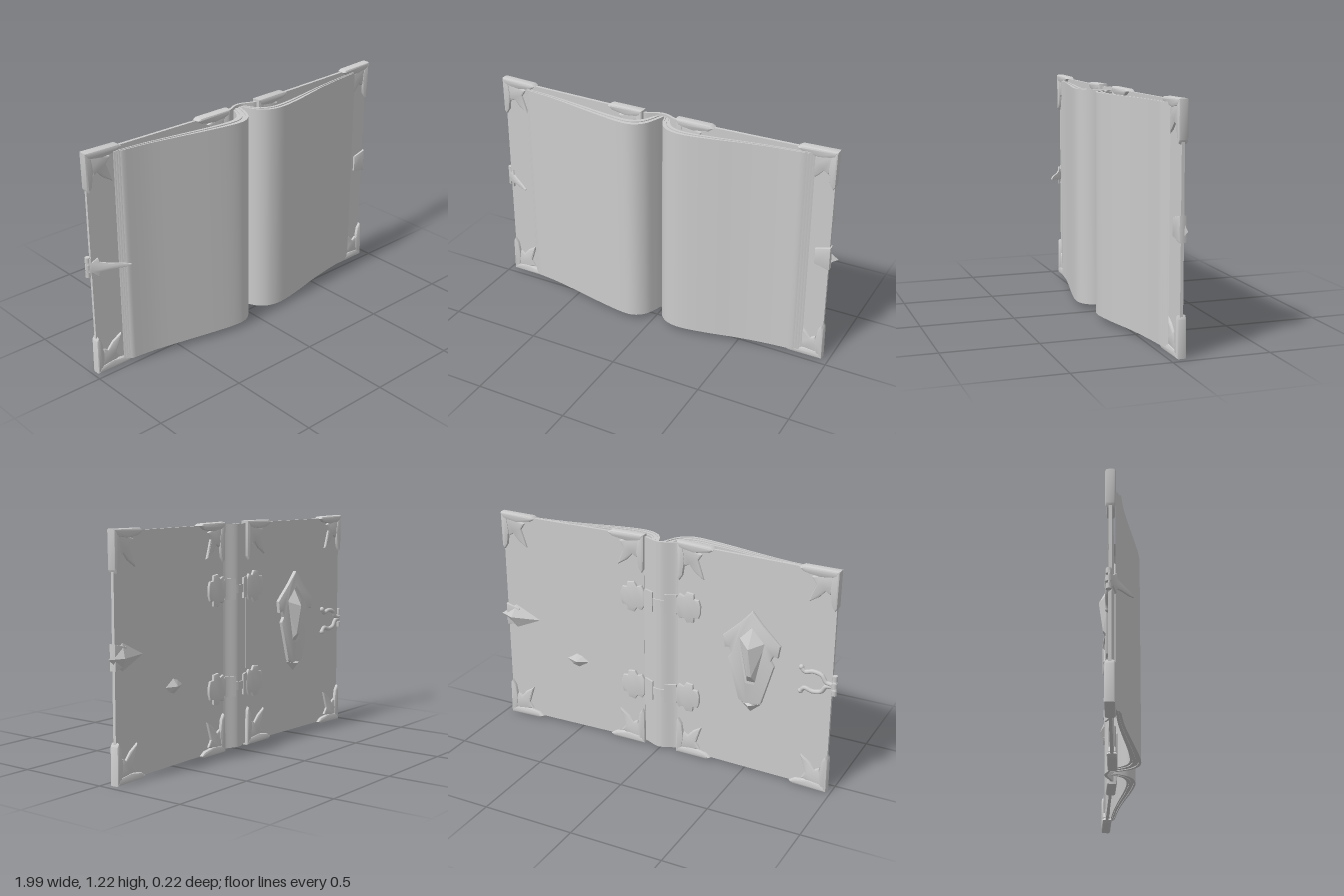
import * as THREE from 'three';
import { toCreasedNormals } from 'three/addons/utils/BufferGeometryUtils.js';
import { ConvexGeometry } from 'three/addons/geometries/ConvexGeometry.js';

const material = new THREE.MeshStandardMaterial({ color: 0xcccccc });
const gemMaterial = new THREE.MeshStandardMaterial({ color: 0xcccccc, flatShading: true });
const V2 = (x, y) => new THREE.Vector2(x, y);

function add(parent, name, geometry, mat = material) {
  const mesh = new THREE.Mesh(geometry, mat);
  mesh.name = name;
  parent.add(mesh);
  return mesh;
}

// Flat ornament outlined in x/y, centred on depth z, with a bevelled rim
function plate(points, thickness, z = 0, bevel = 0.006, hole = null) {
  const shape = new THREE.Shape(points.map(([x, y]) => V2(x, y)));
  if (hole) shape.holes.push(new THREE.Path(hole.map(([x, y]) => V2(x, y))));
  const depth = Math.max(thickness - 2 * bevel, 0.002);
  const g = new THREE.ExtrudeGeometry(shape, {
    depth, bevelEnabled: bevel > 0, bevelSize: bevel, bevelThickness: bevel, bevelOffset: -bevel, bevelSegments: 2,
  });
  return toCreasedNormals(g.translate(0, 0, z - depth / 2), 0.6);
}

// Upright slab between a front and a back line, both given as [x, z]
function slab(front, back, y0, y1) {
  const outline = [...front, ...[...back].reverse()].map(([x, z]) => V2(x, -z));
  const g = new THREE.ExtrudeGeometry(new THREE.Shape(outline), { depth: y1 - y0, bevelEnabled: false });
  return toCreasedNormals(g.rotateX(-Math.PI / 2).translate(0, y0, 0), 0.6);
}

const smooth = (pts, n = 36) =>
  new THREE.SplineCurve(pts.map(([x, z]) => V2(x, z))).getPoints(n).map((p) => [p.x, p.y]);

const gem = (outline, z, peaks) => new ConvexGeometry([
  ...outline.map(([x, y]) => new THREE.Vector3(x, y, z)),
  ...peaks.map((p) => new THREE.Vector3(...p)),
]);

// Band following the rounded spine
const spineZ = (x) => -0.033 - 0.034 * (0.5 + 0.5 * Math.cos((Math.PI * x) / 0.11));
function spineBand(xa, xb, offset, thickness, y0, y1) {
  const xs = Array.from({ length: 25 }, (_, i) => xa + ((xb - xa) * i) / 24);
  return slab(xs.map((x) => [x, spineZ(x) - offset + thickness]), xs.map((x) => [x, spineZ(x) - offset]), y0, y1);
}

// Corner guard of two edge leaves and one diagonal leaf; du, dy point inward
function cornerGuard(s, u, y, du, dy) {
  const group = new THREE.Group();
  group.name = 'cornerGuard';
  const at = (pts) => pts.map(([a, b]) => [s * (u + du * a), y + dy * b]);
  const edge = [[0, 0], [0.19, 0.002], [0.21, 0.014], [0.18, 0.034], [0.1, 0.046], [0.012, 0.034]];
  add(group, 'edgeLeaf', plate(at(edge), 0.052, 0, 0.01));
  add(group, 'sideLeaf', plate(at(edge.map(([a, b]) => [b, a])), 0.05, 0, 0.01));
  const diagonal = [[0.02, 0.02], [0.1, 0.035], [0.145, 0.05], [0.122, 0.085], [0.155, 0.185],
    [0.1, 0.15], [0.07, 0.115], [0.045, 0.13], [0.03, 0.09]];
  add(group, 'diagonalLeaf', plate(at(diagonal), 0.04, 0, 0.009));
  return group;
}

// Sheet block as thin bundles curling out of the gutter
function pageBlock(name, front, back) {
  const group = new THREE.Group();
  group.name = name;
  const f = smooth(front), b = smooth(back), layers = 4;
  const line = (t) => f.map(([x, z], i) => [x + (b[i][0] - x) * t, z + (b[i][1] - z) * t]);
  for (let i = 0; i < layers; i++) {
    const inset = i % 2 ? 0.004 : 0;
    add(group, 'sheets', slab(line(i / layers), line((i + 0.96) / layers), 0.03 + inset, 1.198 - inset));
  }
  return group;
}

function coverHalf(s) {
  const cover = new THREE.Group();
  cover.name = s > 0 ? 'leftCover' : 'rightCover';
  cover.position.set(s * 0.1, 0, -0.035);
  cover.rotation.y = s * 0.029;
  const width = s > 0 ? 0.855 : 0.87;
  add(cover, 'board', new THREE.BoxGeometry(width, 1.195, 0.016)).position.set((s * width) / 2, 0.6125, 0);
  for (const [y, dy] of [[0.002, 1], [1.223, -1]]) {
    cover.add(cornerGuard(s, width + 0.008, y, -1, dy));
    cover.add(cornerGuard(s, -0.004, y, 1, dy));
  }
  // Hinge leaves
  const half = [[-0.005, 0.04], [0.012, 0.07], [0.04, 0.06], [0.055, 0.085], [0.095, 0.08],
    [0.098, 0.052], [0.125, 0.05], [0.135, 0.02]];
  const outline = [...half, ...half.map(([a, b]) => [a, -b]).reverse()];
  for (const y of [0.35, 0.87])
    add(cover, 'hingeLeaf', plate(outline.map(([a, b]) => [s * a, y + b]), 0.02, -0.011, 0.004));
  return cover;
}

export function createModel() {
  const book = new THREE.Group();
  book.name = 'openBook';

  const left = coverHalf(1), right = coverHalf(-1);
  book.add(left, right);

  // Spine and hinge straps
  add(book, 'spine', spineBand(-0.108, 0.108, 0.008, 0.014, 0.015, 1.21));
  for (const y of [0.35, 0.87]) {
    add(book, 'hingeStrap', spineBand(-0.11, 0.11, 0.015, 0.01, y - 0.022, y + 0.022));
    for (const s of [-1, 1]) {
      const [a, b] = s > 0 ? [0.035, 0.095] : [-0.095, -0.035];
      add(book, 'hingeKnuckle', spineBand(a, b, 0.019, 0.012, y - 0.055, y + 0.055));
    }
  }

  // Pages
  book.add(pageBlock('rightPages',
    [[0.008, -0.06], [-0.012, 0], [-0.04, 0.06], [-0.09, 0.1], [-0.16, 0.108], [-0.3, 0.085], [-0.5, 0.042], [-0.65, 0.012], [-0.785, -0.005]],
    [[-0.045, -0.052], [-0.06, -0.015], [-0.085, 0.02], [-0.12, 0.043], [-0.18, 0.05], [-0.31, 0.036], [-0.5, 0.004], [-0.66, -0.02], [-0.82, -0.033]]));
  book.add(pageBlock('leftPages',
    [[0.012, -0.06], [0.03, 0], [0.06, 0.048], [0.11, 0.08], [0.19, 0.09], [0.33, 0.068], [0.5, 0.03], [0.65, 0.005], [0.8, -0.012]],
    [[0.045, -0.052], [0.066, -0.015], [0.093, 0.018], [0.14, 0.038], [0.21, 0.042], [0.34, 0.026], [0.51, -0.002], [0.68, -0.024], [0.85, -0.038]]));

  // Kite-shaped jewel mount on the right cover, outlined around (gx, 0)
  const gx = -0.43;
  const mirror = (half) => [...half.map(([a, b]) => [gx + a, b]), ...half.map(([a, b]) => [gx - a, b]).reverse()];
  const mount = mirror([[0.002, 0.925], [0.06, 0.86], [0.16, 0.765], [0.15, 0.7], [0.125, 0.705], [0.11, 0.675],
    [0.13, 0.645], [0.065, 0.42], [0.02, 0.4]]);
  const opening = mirror([[0.002, 0.85], [0.084, 0.765], [0.032, 0.515]]);
  add(right, 'jewelMount', plate(mount, 0.026, -0.015, 0.008, opening));
  add(right, 'largeJewel', gem(mirror([[0.001, 0.84], [0.075, 0.76], [0.027, 0.525]]), -0.006,
    [[gx, 0.73, -0.064], [gx - 0.012, 0.57, -0.042], [gx + 0.012, 0.57, -0.042]]), gemMaterial);
  add(right, 'mountTip', gem(mirror([[0.001, 0.43], [0.07, 0.415], [0.03, 0.38], [0.001, 0.355]]), -0.006,
    [[gx, 0.4, -0.042]]), gemMaterial);

  // Small stud and clasp point on the left cover
  add(left, 'smallStud', gem([[0.34, 0.42], [0.385, 0.45], [0.42, 0.462], [0.485, 0.42], [0.45, 0.39], [0.41, 0.378]],
    -0.006, [[0.415, 0.42, -0.034]]), gemMaterial);
  add(left, 'claspPlate', plate([[0.78, 0.575], [0.862, 0.555], [0.862, 0.685], [0.78, 0.665]], 0.036, 0, 0.004));
  add(left, 'claspPoint', gem([[0.65, 0.615], [0.8, 0.685], [0.835, 0.66], [0.9, 0.615], [0.835, 0.57], [0.8, 0.548]],
    -0.008, [[0.82, 0.615, -0.042]]), gemMaterial);

  // Forked clasp anchor on the right cover
  for (const s of [-1, 1]) {
    const prong = new THREE.CatmullRomCurve3([[-0.87, 0.006], [-0.84, 0.012], [-0.815, 0.045], [-0.77, 0.055],
      [-0.725, 0.045], [-0.705, 0.066]].map(([x, y]) => new THREE.Vector3(x, 0.615 + s * y, -0.013)));
    add(right, 'claspProng', new THREE.TubeGeometry(prong, 24, 0.012, 8));
    const tip = add(right, 'prongTip', new THREE.SphereGeometry(0.014, 10, 8));
    tip.position.set(-0.705, 0.615 + s * 0.066, -0.013);
  }
  for (const y of [0.575, 0.615, 0.655]) {
    const knuckle = add(right, 'claspKnuckle', new THREE.CylinderGeometry(0.014, 0.014, 0.028, 10));
    knuckle.position.set(-0.882, y, -0.006);
  }

  // Swinging clasp tongue standing off the fore-edge
  const half = [[0, 0.042], [0.022, 0.05], [0.03, 0.026], [0.062, 0.052], [0.07, 0.026], [0.11, 0.018], [0.18, 0.012], [0.222, 0.003]];
  const tongue = add(book, 'claspTongue',
    plate([...half, ...half.map(([a, b]) => [a, -b]).reverse()], 0.01, 0, 0.002));
  tongue.position.set(-0.993, 0.615, -0.066);
  tongue.rotation.y = -0.56;

  return book;
}
